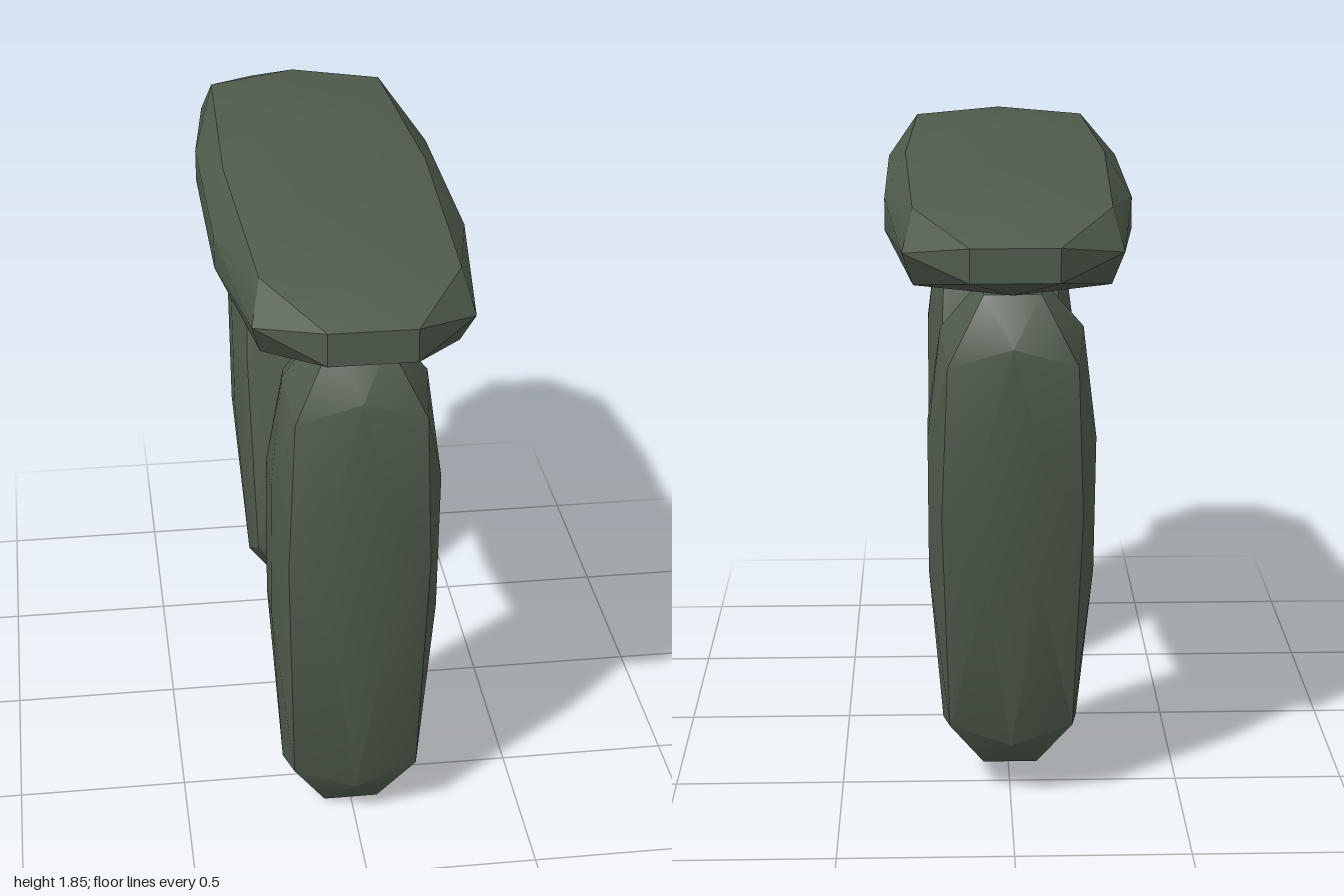
import * as THREE from 'three';
import { ConvexGeometry } from 'three/addons/geometries/ConvexGeometry.js';
import { toCreasedNormals } from 'three/addons/utils/BufferGeometryUtils.js';

const stoneMaterial = new THREE.MeshStandardMaterial({ color: 0x4f5b4c });
stoneMaterial.name = 'mossy grey stone';

// Rounded block: a flat pad on each face, joined through eased edges and corners.
// half = half sizes; bulge moves the widest part along y.
function stoneGeometry(half, bulge = 0) {
  const pad = 0.335, edge = 0.84, corner = 0.76;
  const padY = bulge ? 0.28 : pad;
  const points = [];
  const add = (x, y, z) => points.push(new THREE.Vector3(x * half[0], y * half[1], z * half[2]));
  for (const a of [-1, 1]) {
    for (const b of [-1, 1]) {
      // edge midpoints
      add(a * edge, b * edge, 0);
      add(0, a * edge, b * edge);
      add(a * edge, bulge, b * edge);
      for (const c of [-1, 1]) {
        // face pads
        add(c, bulge + a * padY, b * pad);
        add(a * pad, c, b * pad);
        add(a * pad, bulge + b * padY, c);
        // corners
        add(a * corner, b * corner, c * corner);
      }
    }
  }
  return toCreasedNormals(new ConvexGeometry(points), 0.5);
}

function stone(name, half, position, tilt, bulge) {
  const mesh = new THREE.Mesh(stoneGeometry(half, bulge), stoneMaterial);
  mesh.name = name;
  mesh.position.set(...position);
  mesh.rotation.x = tilt;
  return mesh;
}

export function createModel() {
  const group = new THREE.Group();
  group.name = 'stoneArch';
  group.add(
    stone('lintelStone', [0.355, 0.14, 1], [0, 1.71, 0], -0.015),
    stone('frontUprightStone', [0.24, 0.8, 0.2], [0, 0.808, 0.617], 0.063, 0.17),
    stone('backUprightStone', [0.235, 0.75, 0.193], [0, 0.84, -0.603], -0.16, 0.15)
  );
  return group;
}
